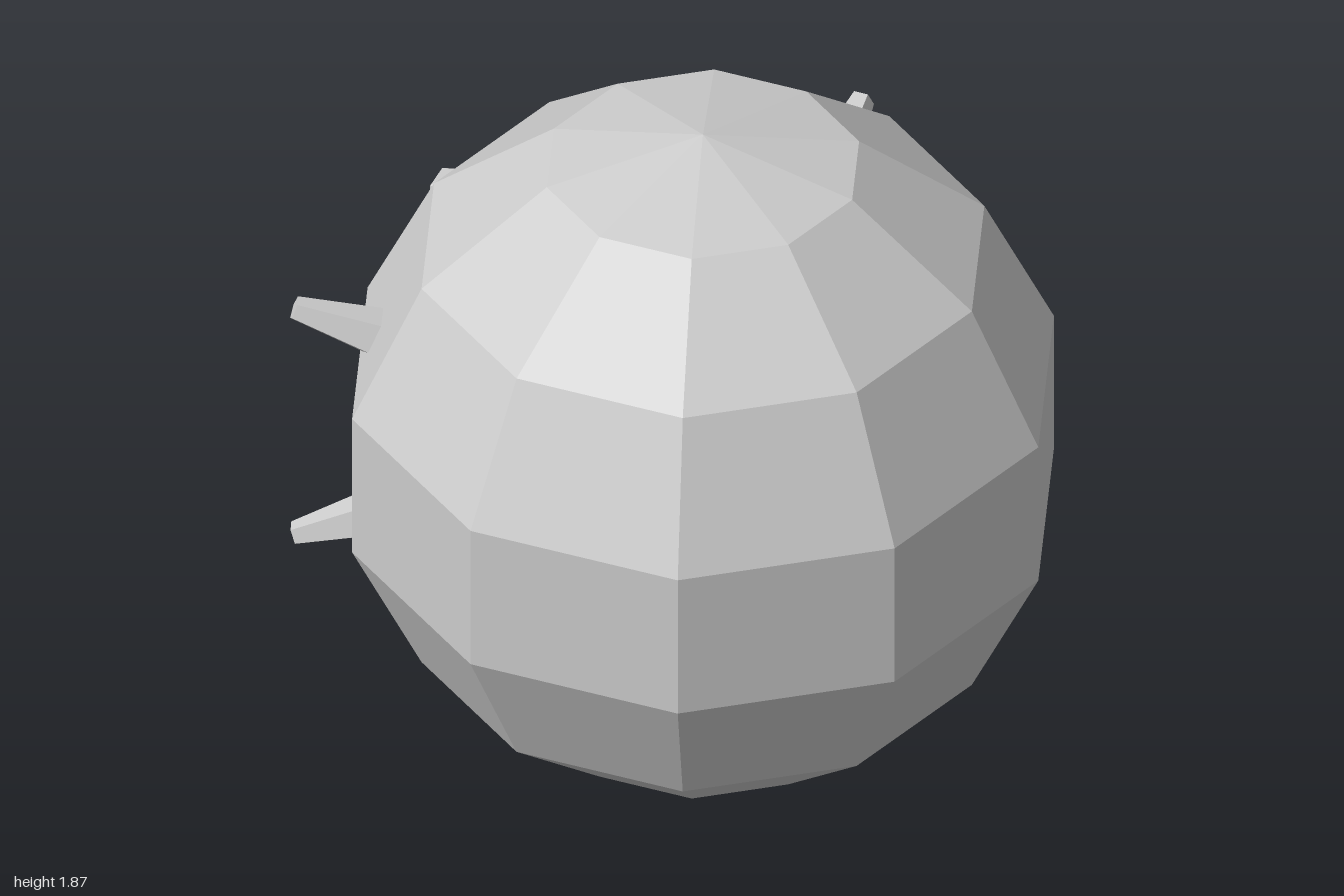
import * as THREE from 'three';

export function createModel() {
  const model = new THREE.Group();
  model.name = 'spikedBall';
  const grey = new THREE.MeshStandardMaterial({ color: 0xcccccc, flatShading: true });
  grey.name = 'light grey';
  const center = new THREE.Vector3(0, 0.935, 0.09);

  function add(name, geometry, position) {
    const mesh = new THREE.Mesh(geometry, grey);
    mesh.name = name;
    mesh.position.copy(position);
    model.add(mesh);
    return mesh;
  }

  // Faceted ball, with a corner facing the front
  add('body', new THREE.SphereGeometry(0.935, 10, 7).rotateY(Math.PI / 2), center);

  // Five-sided tapered spikes, radiating from the middle of the body
  const spike = new THREE.CylinderGeometry(0.032, 0.072, 0.25, 5)
    .translate(0, 0.965, 0)
    .rotateX(Math.PI / 2);
  function addSpike(name, x, y, z) {
    const mesh = add(name, spike, center);
    mesh.lookAt(center.clone().add(new THREE.Vector3(x, y, z)));
  }
  addSpike('backSpike', 0, 0, -1);
  addSpike('lowerBackSpike', 0, -0.59, -0.81);

  // Mirrored side spikes and small knobs
  const knob = new THREE.SphereGeometry(0.08, 5, 3).rotateY(-Math.PI / 2);
  for (const [side, s] of [['left', 1], ['right', -1]]) {
    addSpike(side + 'UpperSpike', 0.84 * s, 0.35, -0.59);
    addSpike(side + 'LowerSpike', 0.84 * s, -0.35, -0.59);
    add(side + 'Knob', knob, new THREE.Vector3(0.238 * s, 1.285, -0.7));
  }
  return model;
}
